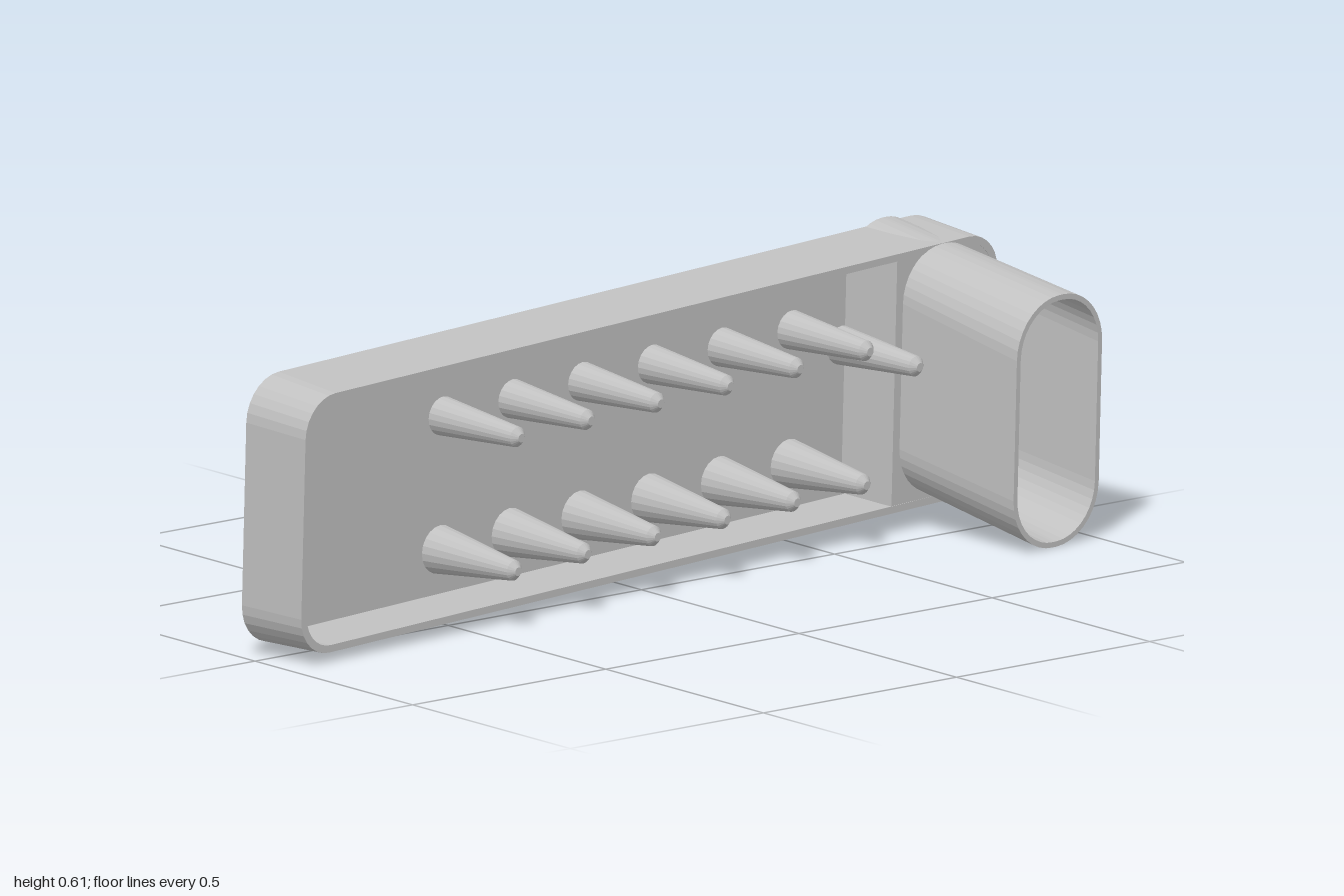
import * as THREE from 'three';

const DEPTH = 0.163, FLOOR = 0.02, DIVIDER = -0.7;

// Rounded rectangle ring at depth d (local x = depth, y = height, z = length)
function ring(d, h, l, halfH, halfL, r, steps = 7) {
  const pts = [];
  [[1, 1], [-1, 1], [-1, -1], [1, -1]].forEach(([sh, sl], q) => {
    for (let i = 0; i <= steps; i++) {
      const t = (q + i / steps) * Math.PI / 2;
      pts.push(new THREE.Vector3(d,
        h + sh * (halfH - r) + r * Math.cos(t),
        l + sl * (halfL - r) + r * Math.sin(t)));
    }
  });
  return pts;
}

// Skin a series of rings and close both ends
function loft(rings) {
  const pos = [], n = rings[0].length;
  const tri = (...v) => v.forEach(p => pos.push(p.x, p.y, p.z));
  const centre = r => r.reduce((s, p) => s.add(p), new THREE.Vector3()).divideScalar(n);
  const first = rings[0], last = rings[rings.length - 1];
  const c0 = centre(first), c1 = centre(last);
  for (let i = 0; i < n; i++) {
    const j = (i + 1) % n;
    for (let k = 0; k + 1 < rings.length; k++) {
      const A = rings[k], B = rings[k + 1];
      tri(A[i], A[j], B[j], A[i], B[j], B[i]);
    }
    tri(c0, first[j], first[i]);
    tri(c1, last[i], last[j]);
  }
  const g = new THREE.BufferGeometry();
  g.setAttribute('position', new THREE.Float32BufferAttribute(pos, 3));
  g.computeVertexNormals();
  return g;
}

// Leaning oval tube section at depth d, shrunk by inset
function tubeRing(d, inset = 0) {
  const t = d / 0.481, mix = THREE.MathUtils.lerp;
  const halfL = mix(0.105, 0.1215, t) - inset;
  return ring(d, mix(0.036, -0.036, t), mix(-0.822, -0.845, t),
    mix(0.255, 0.2625, t) - inset, halfL, halfL * 0.96, 9);
}

export function createModel() {
  const group = new THREE.Group();
  const grey = new THREE.MeshStandardMaterial({ color: 0xc0c0c0 });
  grey.name = 'grey';
  const add = (name, geo) => {
    const m = new THREE.Mesh(geo, grey);
    m.name = name;
    group.add(m);
    return m;
  };

  // Shallow open tray with slightly drafted walls
  const innerRim = ring(DEPTH, 0, 0, 0.255, 0.971, 0.07);
  add('tray', loft([
    ring(0, 0, 0, 0.28, 0.9915, 0.09),
    ring(DEPTH, 0, 0, 0.27, 0.987, 0.083),
    innerRim,
    ring(FLOOR, 0, 0, 0.26, 0.973, 0.07),
  ]));

  // Hollow oval tube rising from the tray back
  add('tube', loft([
    tubeRing(0.001), tubeRing(0.481), tubeRing(0.481, 0.011), tubeRing(FLOOR + 0.001, 0.011),
  ]));

  // Divider wall between tray and tube chamber
  const divider = add('divider', new THREE.BoxGeometry(DEPTH - 0.012, 0.512, 0.01));
  divider.position.set((DEPTH + 0.01) / 2, 0, DIVIDER - 0.005);

  // Lid over the chamber, cut out around the tube
  const outline = innerRim.filter(p => p.z < DIVIDER).map(p => new THREE.Vector2(p.y, p.z));
  outline.push(new THREE.Vector2(0.255, DIVIDER), new THREE.Vector2(-0.255, DIVIDER));
  const lidShape = new THREE.Shape(outline);
  lidShape.holes.push(new THREE.Path(tubeRing(DEPTH, 0.004)
    .map(p => new THREE.Vector2(Math.min(p.y, 0.253 - 0.02 * Math.abs(p.z + 0.83)), p.z))));
  const lid = new THREE.ShapeGeometry(lidShape);
  lid.applyMatrix4(new THREE.Matrix4().makeBasis(
    new THREE.Vector3(0, 1, 0), new THREE.Vector3(0, 0, 1), new THREE.Vector3(1, 0, 0)));
  lid.translate(DEPTH - 0.001, 0, 0);
  add('chamberLid', lid);

  // Tapered pins standing on the tray floor
  const pin = (h, l, r) => {
    const profile = [[r, 0], [0.021, 0.211], [0.009, 0.223], [0, 0.223]];
    const geo = new THREE.LatheGeometry(profile.map(p => new THREE.Vector2(...p)), 20).toNonIndexed();
    geo.computeVertexNormals();
    geo.rotateZ(-Math.PI / 2);
    add('pin', geo).position.set(FLOOR, h, l);
  };
  for (let i = 0; i < 6; i++) {
    const l = 0.449 - i * 0.199;
    pin(-0.167, l, 0.05);
    pin(0.111, l, 0.04);
  }
  pin(0.053, -0.69, 0.04);

  // Lean the whole piece
  const D = new THREE.Vector3(0.993, -0.045, -0.107).normalize();
  const L = new THREE.Vector3(0.1075, -0.013, 0.994);
  const H = L.clone().cross(D).normalize();
  L.crossVectors(D, H);
  group.applyMatrix4(new THREE.Matrix4().makeBasis(D, H, L).setPosition(-0.143, 0.309, 0.012));
  const model = new THREE.Group();
  model.name = 'pinTray';
  model.add(group);
  return model;
}
